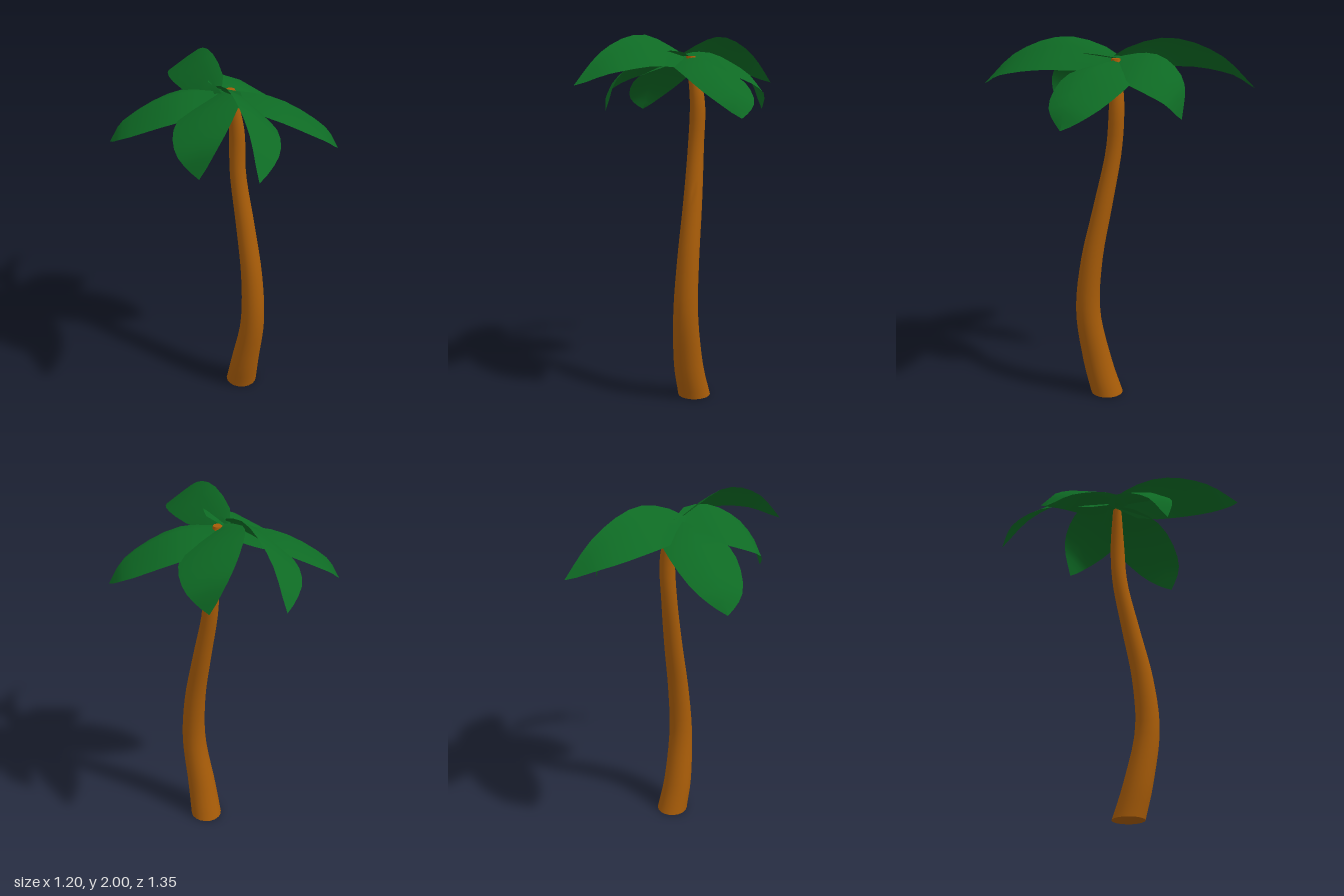
import * as THREE from 'three';
import { mergeVertices, toCreasedNormals } from 'three/addons/utils/BufferGeometryUtils.js';

const leafMaterial = new THREE.MeshStandardMaterial({ color: 0x0e6a24, side: THREE.DoubleSide });
const barkMaterial = new THREE.MeshStandardMaterial({ color: 0xa85c08 });

const vec = p => new THREE.Vector3(...p);
const curve = points => new THREE.CatmullRomCurve3(points.map(vec), false, 'catmullrom', 0.5);

// Trunk: a cylinder whose rings follow a bent centre line and taper upwards
function trunkGeometry() {
  const centre = curve([
    [0.114, 0, -0.025], [0.144, 0.2, 0.021], [0.187, 0.5, 0.052], [0.175, 0.8, 0.033],
    [0.128, 1.1, -0.009], [0.077, 1.4, -0.046], [0.066, 1.65, -0.058], [0.035, 1.89, -0.03],
  ]);
  const radius = curve([0.09, 0.081, 0.068, 0.06, 0.052, 0.044, 0.041, 0.025].map(r => [r, 0, 0]));
  const geometry = new THREE.CylinderGeometry(1, 1, 1, 18, 30);
  const pos = geometry.attributes.position;
  for (let i = 0; i < pos.count; i++) {
    const t = THREE.MathUtils.clamp(pos.getY(i) + 0.5, 0, 1);
    const c = centre.getPoint(t);
    const r = radius.getPoint(t).x;
    pos.setXYZ(i, c.x + pos.getX(i) * r, c.y, c.z + pos.getZ(i) * r);
  }
  geometry.deleteAttribute('normal');
  geometry.deleteAttribute('uv');
  return toCreasedNormals(mergeVertices(geometry), 0.9);
}

// Leaf: a thin blade that spreads to both sides of a drooping rib,
// widest a third of the way out and pointed at both ends
function leafGeometry({ rib, left, right }) {
  const steps = 10;
  const ribCurve = curve(rib);
  const sides = [vec(left), new THREE.Vector3(), vec(right)];
  const positions = [];
  const indices = [];
  for (let i = 0; i <= steps; i++) {
    const t = i / steps;
    const width = Math.max(0, Math.sin(Math.PI * t ** 0.65)) ** 0.9;
    const middle = ribCurve.getPoint(t);
    for (const side of sides) positions.push(...middle.clone().addScaledVector(side, width).toArray());
    if (i === steps) break;
    for (let j = 0; j < 2; j++) {
      const a = i * 3 + j;
      indices.push(a, a + 3, a + 1, a + 1, a + 3, a + 4);
    }
  }
  const geometry = new THREE.BufferGeometry();
  geometry.setAttribute('position', new THREE.Float32BufferAttribute(positions, 3));
  geometry.setIndex(indices);
  geometry.computeVertexNormals();
  return geometry;
}

// Three leaf shapes: rib, offsets of the two edges at the widest place,
// and the pivot (x, z) around which the opposite leaf is turned
const leaves = [
  {
    name: 'sideLeaf', pivot: [0, -0.022],
    rib: [[0.04, 1.89, -0.02], [-0.26, 1.855, 0.01], [-0.51, 1.715, 0.035], [-0.6, 1.58, 0.05]],
    left: [-0.01, -0.045, -0.175], right: [0.03, -0.085, 0.187],
  },
  {
    name: 'longLeaf', pivot: [-0.015, 0],
    rib: [[-0.03, 1.89, -0.03], [0.15, 1.955, 0.23], [0.26, 1.885, 0.48], [0.295, 1.74, 0.675]],
    left: [-0.07, 0.045, 0.03], right: [0.145, -0.12, 0.01],
  },
  {
    name: 'shortLeaf', pivot: [0.006, -0.01],
    rib: [[0.01, 1.89, -0.03], [-0.03, 1.87, 0.2], [-0.04, 1.76, 0.38], [-0.035, 1.6, 0.43]],
    left: [-0.17, -0.09, 0], right: [0.15, 0.035, 0],
  },
];

export function createModel() {
  const model = new THREE.Group();
  model.name = 'palmTree';

  const trunk = new THREE.Mesh(trunkGeometry(), barkMaterial);
  trunk.name = 'trunk';
  model.add(trunk);

  // Crown of six leaves in opposite pairs
  const crown = new THREE.Group();
  crown.name = 'crown';
  for (const leaf of leaves) {
    const geometry = leafGeometry(leaf);
    for (const opposite of [false, true]) {
      const mesh = new THREE.Mesh(geometry, leafMaterial);
      mesh.name = leaf.name + (opposite ? 'Opposite' : '');
      if (opposite) {
        mesh.rotation.y = Math.PI;
        mesh.position.set(2 * leaf.pivot[0], 0, 2 * leaf.pivot[1]);
      }
      crown.add(mesh);
    }
  }
  model.add(crown);
  return model;
}
